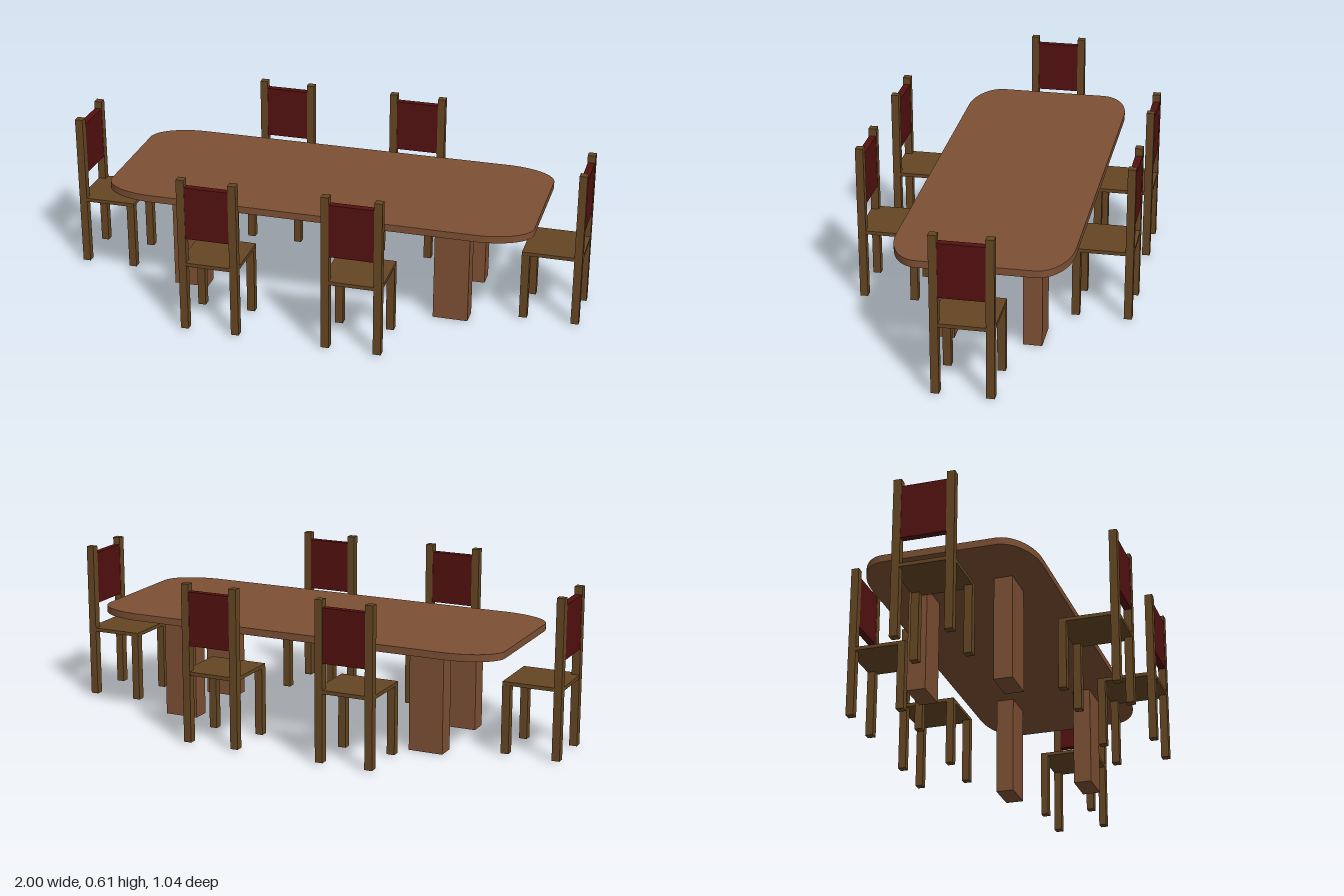
import * as THREE from 'three';

const tableWood = new THREE.MeshStandardMaterial({ color: 0x7d5034 });
const chairWood = new THREE.MeshStandardMaterial({ color: 0x654623 });
const fabric = new THREE.MeshStandardMaterial({ color: 0x541010 });

// Box given by its centre in x and z and its bottom and top heights
function addBox(parent, name, material, w, d, bottom, top, x, z) {
  const mesh = new THREE.Mesh(new THREE.BoxGeometry(w, top - bottom, d), material);
  mesh.position.set(x, (bottom + top) / 2, z);
  mesh.name = name;
  parent.add(mesh);
}

// Rectangle with elliptical corners
function tableOutline(w, d, rx, rz) {
  const shape = new THREE.Shape();
  const cx = w / 2 - rx, cz = d / 2 - rz;
  [[1, 1], [-1, 1], [-1, -1], [1, -1]].forEach(([sx, sz], i) => {
    const start = i * Math.PI / 2;
    const x0 = sx * cx + rx * Math.cos(start), z0 = sz * cz + rz * Math.sin(start);
    if (i === 0) shape.moveTo(x0, z0);
    else shape.lineTo(x0, z0);
    shape.absellipse(sx * cx, sz * cz, rx, rz, start, start + Math.PI / 2, false, 0);
  });
  return shape;
}

function createTable() {
  const table = new THREE.Group();
  table.name = 'table';
  const geometry = new THREE.ExtrudeGeometry(tableOutline(1.65, 0.65, 0.2, 0.115), {
    depth: 0.027, bevelEnabled: false, curveSegments: 12,
  });
  geometry.rotateX(-Math.PI / 2);
  const top = new THREE.Mesh(geometry, tableWood);
  top.position.y = 0.4;
  top.name = 'tableTop';
  table.add(top);
  for (const sx of [-1, 1])
    for (const sz of [-1, 1])
      addBox(table, 'tableLeg', tableWood, 0.134, 0.071, 0, 0.4, sx * 0.518, sz * 0.163);
  table.position.set(0.005, 0, -0.028);
  return table;
}

// Chair with its backrest towards local +z
function createChair(x, z, turn) {
  const chair = new THREE.Group();
  chair.name = 'chair';
  const post = 0.03, edge = 0.0985;
  for (const side of [-1, 1]) {
    addBox(chair, 'backPost', chairWood, post, post, 0.006, 0.614, side * edge, edge);
    addBox(chair, 'frontLeg', chairWood, post, post, 0.006, 0.268, side * edge, -edge);
  }
  addBox(chair, 'seat', chairWood, 0.226, 0.226, 0.267, 0.281, 0, 0);
  addBox(chair, 'backrest', fabric, 0.167, 0.027, 0.38, 0.585, 0, edge);
  chair.position.set(x, 0, z);
  chair.rotation.y = turn;
  return chair;
}

export function createModel() {
  const model = new THREE.Group();
  model.name = 'diningSet';
  model.add(createTable());
  // Two chairs along each long side
  for (const x of [-0.317, 0.228]) {
    model.add(createChair(x, 0.408, 0));
    model.add(createChair(x, -0.408, Math.PI));
  }
  // One chair at each end
  for (const s of [-1, 1]) model.add(createChair(s * 0.886, -0.019, s * Math.PI / 2));
  return model;
}
